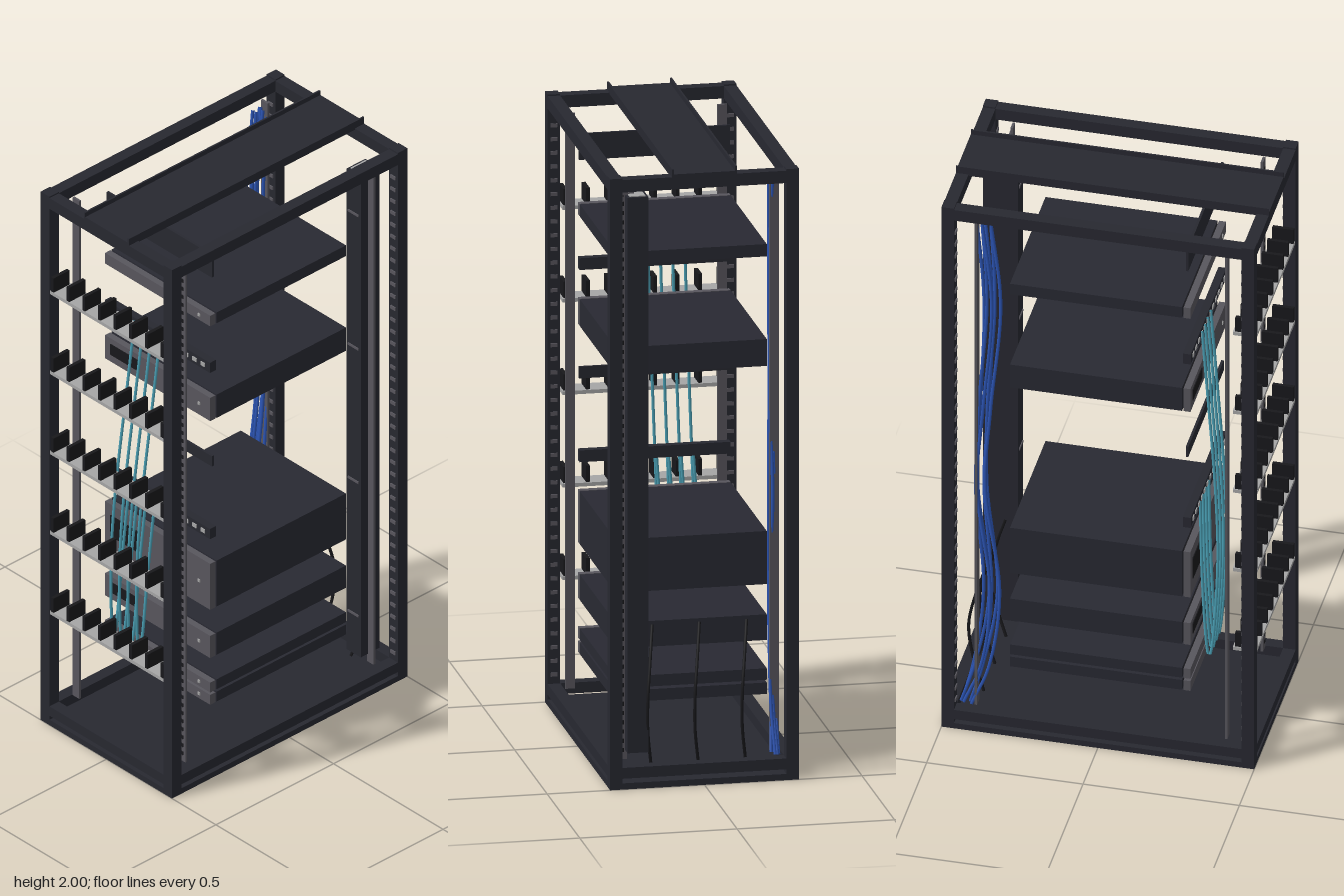
import * as THREE from 'three';
import { mergeGeometries } from 'three/addons/utils/BufferGeometryUtils.js';

const mat = (name, color) => {
  const m = new THREE.MeshStandardMaterial({ color });
  m.name = name;
  return m;
};

export function createModel() {
  const frameMat = mat('dark frame', 0x272830);
  const bodyMat = mat('charcoal casing', 0x282932);
  const greyMat = mat('grey steel', 0x58565d);
  const lightMat = mat('light metal', 0xa6a6a6);
  const blackMat = mat('black plastic', 0x18181b);
  const blueMat = mat('blue cable', 0x2c55b5);
  const tealMat = mat('teal cable', 0x4a9fb4);

  const model = new THREE.Group();
  model.name = 'equipmentRack';

  // Box geometry given by its limits on each axis
  const boxGeo = (x0, x1, y0, y1, z0, z1) =>
    new THREE.BoxGeometry(x1 - x0, y1 - y0, z1 - z0)
      .translate((x0 + x1) / 2, (y0 + y1) / 2, (z0 + z1) / 2);
  const add = (name, material, geos, parent = model) => {
    const list = Array.isArray(geos) ? geos : [geos];
    const mesh = new THREE.Mesh(list.length > 1 ? mergeGeometries(list) : list[0], material);
    mesh.name = name;
    parent.add(mesh);
    return mesh;
  };
  const tube = (name, material, pts, radius, segments = 40) => {
    const curve = new THREE.CatmullRomCurve3(pts.map(p => new THREE.Vector3(...p)));
    return add(name, material, new THREE.TubeGeometry(curve, segments, radius, 6));
  };

  // Frame: four posts, top and bottom beams, floor plate
  add('floorPlate', frameMat, boxGeo(-0.3, 0.3, 0, 0.02, -0.5, 0.5));
  for (const sx of [-1, 1]) {
    for (const sz of [-1, 1]) {
      add('cornerPost', frameMat,
        new THREE.BoxGeometry(0.04, 1.96, 0.04).translate(sx * 0.28, 1.0, sz * 0.48));
    }
  }
  for (const [y0, y1] of [[0.035, 0.07], [1.935, 1.975]]) {
    for (const s of [-1, 1]) {
      add('crossBeam', frameMat,
        new THREE.BoxGeometry(0.52, y1 - y0, 0.04).translate(0, (y0 + y1) / 2, s * 0.48));
      add('sideBeam', frameMat,
        new THREE.BoxGeometry(0.04, y1 - y0, 0.92).translate(s * 0.28, (y0 + y1) / 2, 0));
    }
  }

  // Small studs down the inner faces of the posts
  const studs = [];
  for (let y = 0.1; y < 1.92; y += 0.0445) {
    for (const sx of [-1, 1]) {
      for (const sz of [-1, 1]) {
        studs.push(new THREE.BoxGeometry(0.022, 0.012, 0.006).translate(sx * 0.28, y, sz * 0.459));
      }
    }
  }
  add('postStuds', greyMat, studs);

  // Mounting rails with square holes on the outward face
  const holes = [];
  for (const sx of [-1, 1]) {
    for (const sz of [-1, 1]) {
      add('mountingRail', greyMat,
        new THREE.BoxGeometry(0.03, 1.865, 0.008).translate(sx * 0.242, 1.0025, sz * 0.4));
    }
  }
  for (let y = 0.1; y < 1.92; y += 0.03) {
    for (const sz of [-1, 1]) {
      holes.push(new THREE.BoxGeometry(0.012, 0.013, 0.006).translate(0.242, y, sz * 0.403));
    }
  }
  add('railHoles', blackMat, holes);

  // Cable tray on the roof
  add('trayBase', frameMat, boxGeo(-0.1, 0.1, 1.974, 1.984, -0.5, 0.5));
  for (const s of [-1, 1]) {
    add('trayFlange', frameMat,
      new THREE.BoxGeometry(0.006, 0.03, 1).translate(s * 0.1, 1.985, 0));
  }

  // Equipment: casing, front bezel, vent grille and status light
  const units = [[1.64, 1.68], [1.285, 1.372], [0.578, 0.75], [0.397, 0.48], [0.268, 0.305], [0.222, 0.259]];
  for (const [y0, y1] of units) {
    const unit = new THREE.Group();
    unit.name = 'equipmentUnit';
    model.add(unit);
    const h = y1 - y0, mid = (y0 + y1) / 2;
    add('casing', bodyMat, boxGeo(-0.24, 0.24, y0, y1, -0.295, 0.255), unit);
    add('bezel', greyMat, boxGeo(-0.24, 0.24, y0, y1, 0.26, 0.282), unit);
    add('bezelMount', blackMat, boxGeo(-0.22, 0.22, y0 + 0.005, y1 - 0.005, 0.254, 0.261), unit);
    if (h > 0.05) {
      add('ventGrille', blackMat, boxGeo(-0.215, -0.09, mid - h * 0.18, mid + h * 0.27, 0.28, 0.285), unit);
    }
    add('statusLight', lightMat, boxGeo(0.185, 0.195, mid - 0.005, mid + 0.005, 0.28, 0.285), unit);
  }

  // Blanking panels
  for (const [y0, y1] of [[1.82, 1.905], [1.112, 1.15]]) {
    add('blankingPanel', frameMat, boxGeo(-0.24, 0.24, y0, y1, 0.267, 0.275));
  }

  // Patch panels with a row of ports
  for (const y of [1.485, 0.862]) {
    add('patchPanel', frameMat, boxGeo(-0.24, 0.24, y - 0.019, y + 0.019, 0.258, 0.283));
    const ports = [];
    for (let i = 0; i < 12; i++) {
      ports.push(new THREE.BoxGeometry(0.018, 0.014, 0.006).translate(-0.209 + i * 0.038, y, 0.283));
    }
    add('patchPorts', lightMat, ports);
  }

  // Horizontal cable managers: light shelf with deep upright fingers
  for (let i = 0; i < 5; i++) {
    const y = 0.415 + i * 0.3;
    add('managerShelf', lightMat, boxGeo(-0.26, 0.26, y, y + 0.012, 0.422, 0.498));
    const fingers = [];
    for (let k = 0; k < 8; k++) {
      fingers.push(new THREE.BoxGeometry(0.012, 0.053, 0.068).translate(-0.25 + k * 0.0714, y + 0.0385, 0.463));
    }
    add('managerFingers', blackMat, fingers);
  }

  // Vertical power strip with light end cap and clamps to the rear rail
  add('powerStrip', frameMat, boxGeo(0.167, 0.233, 0.1, 1.9, -0.445, -0.365));
  add('powerStripCap', lightMat, boxGeo(0.175, 0.225, 1.9, 1.903, -0.438, -0.374));
  add('topClamp', greyMat, boxGeo(0.205, 0.256, 1.898, 1.908, -0.41, -0.4));
  for (const y of [0.25, 0.75, 1.25, 1.75]) {
    add('stripClamp', greyMat, boxGeo(0.176, 0.224, y - 0.004, y + 0.004, -0.366, -0.362));
  }

  // Blue cable bundle down the rear corner
  const spine = [[1.92, -0.355], [1.6, -0.33], [1.2, -0.352], [0.9, -0.365], [0.5, -0.33], [0.22, -0.365], [0.07, -0.41]];
  for (let i = 0; i < 6; i++) {
    const x = -0.25 + (i % 3) * 0.009, dz = -i * 0.009;
    tube('blueCable', blueMat,
      spine.map(([y, z], k) => [x + 0.004 * Math.sin(k * 2 + i), y, z + dz + 0.007 * Math.sin(k * 1.7 + i * 2)]),
      0.0055, 60);
  }

  // Teal patch leads looping between the two patch panels
  for (let i = 0; i < 4; i++) {
    const x = -0.1 + i * 0.039;
    tube('patchLead', tealMat, [
      [x, 1.5, 0.286], [x - 0.012, 1.25, 0.308], [x - 0.03, 0.9, 0.337], [x - 0.042, 0.65, 0.346],
      [x - 0.056, 0.335, 0.33], [x - 0.057, 0.302, 0.322], [x - 0.055, 0.335, 0.315],
      [x - 0.045, 0.6, 0.297], [x - 0.025, 0.87, 0.286],
    ], 0.0048, 70);
  }

  // Black power leads at the rear
  for (const x of [-0.15, 0, 0.15]) {
    tube('powerLead', blackMat, [
      [x, 0.05, -0.4], [x + 0.018, 0.17, -0.44], [x + 0.02, 0.28, -0.453], [x + 0.008, 0.4, -0.43], [x - 0.004, 0.5, -0.4],
    ], 0.005);
  }

  return model;
}
